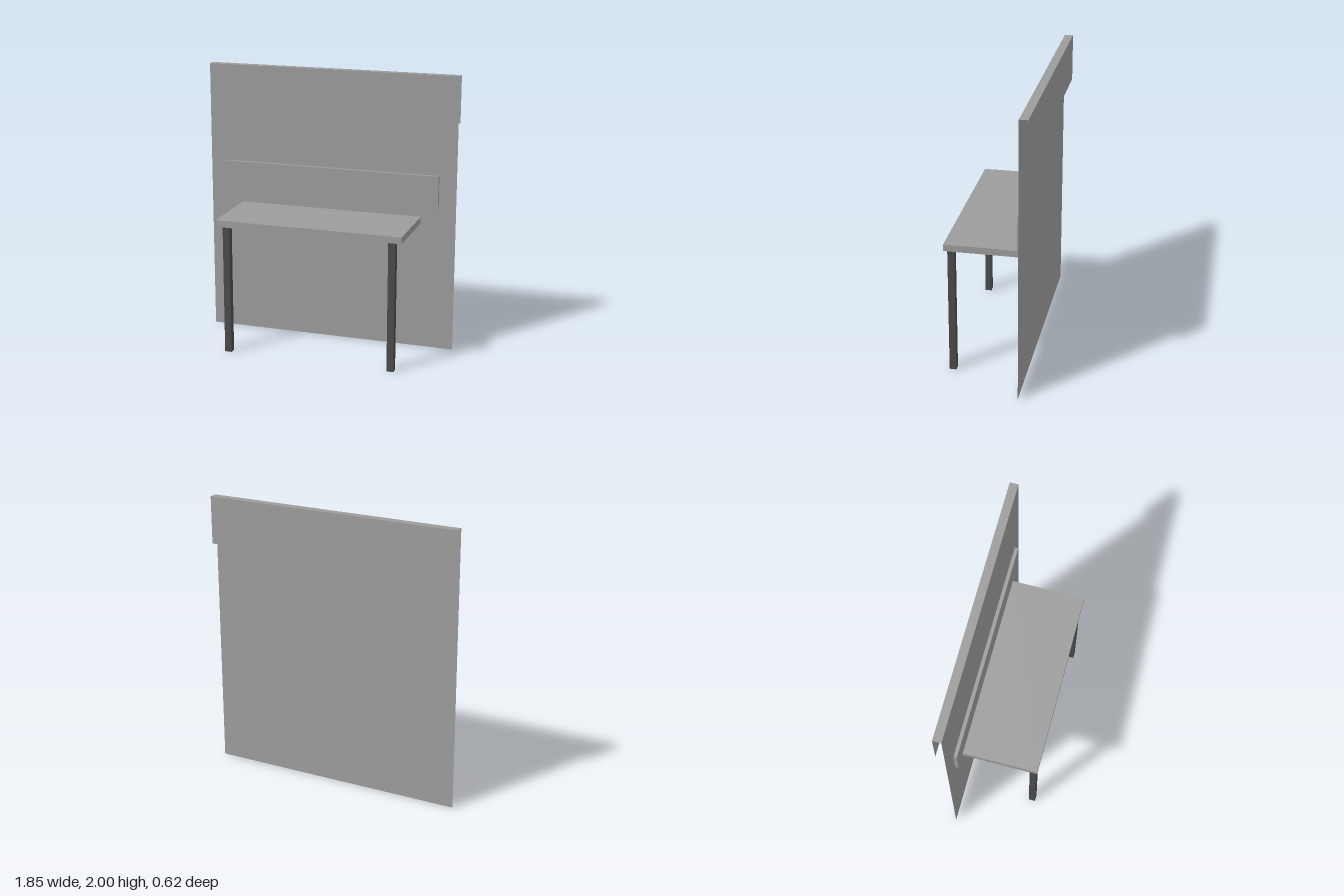
import * as THREE from 'three';

export function createModel() {
  const model = new THREE.Group();
  model.name = 'tableWithBackdrop';

  const lightGrey = new THREE.MeshStandardMaterial({ color: 0x9c9c9c });
  lightGrey.name = 'lightGrey';
  const sheetGrey = new THREE.MeshStandardMaterial({ color: 0x9c9c9c, side: THREE.DoubleSide });
  sheetGrey.name = 'lightGreySheet';
  const darkGrey = new THREE.MeshStandardMaterial({ color: 0x4a4a4a });
  darkGrey.name = 'darkGrey';

  const add = (name, geometry, material, x, y, z) => {
    const mesh = new THREE.Mesh(geometry, material);
    mesh.name = name;
    mesh.position.set(x, y, z);
    model.add(mesh);
    return mesh;
  };

  // Backdrop: one thin sheet folded over at the top, open at the sides
  const width = 1.85, frontZ = -0.25, backZ = -0.31, flapHeight = 0.34;
  add('backdropPanel', new THREE.PlaneGeometry(width, 2), sheetGrey, 0, 1, frontZ);
  add('backdropTop', new THREE.PlaneGeometry(width, frontZ - backZ).rotateX(-Math.PI / 2),
    sheetGrey, 0, 2, (frontZ + backZ) / 2);
  add('backdropFlap', new THREE.PlaneGeometry(width, flapHeight).rotateY(Math.PI),
    sheetGrey, 0, 2 - flapHeight / 2, backZ);

  // Board on the backdrop
  add('wallBoard', new THREE.BoxGeometry(1.6, 0.245, 0.025), lightGrey, 0, 1.168, -0.232);

  // Table top carried by two front legs
  add('tableTop', new THREE.BoxGeometry(1.352, 0.048, 0.535), lightGrey, 0, 0.962, 0.04);
  for (const side of [-1, 1]) {
    add(side > 0 ? 'leftLeg' : 'rightLeg', new THREE.BoxGeometry(0.05, 0.935, 0.048),
      darkGrey, side * 0.604, 0.4675, 0.267);
  }

  return model;
}
